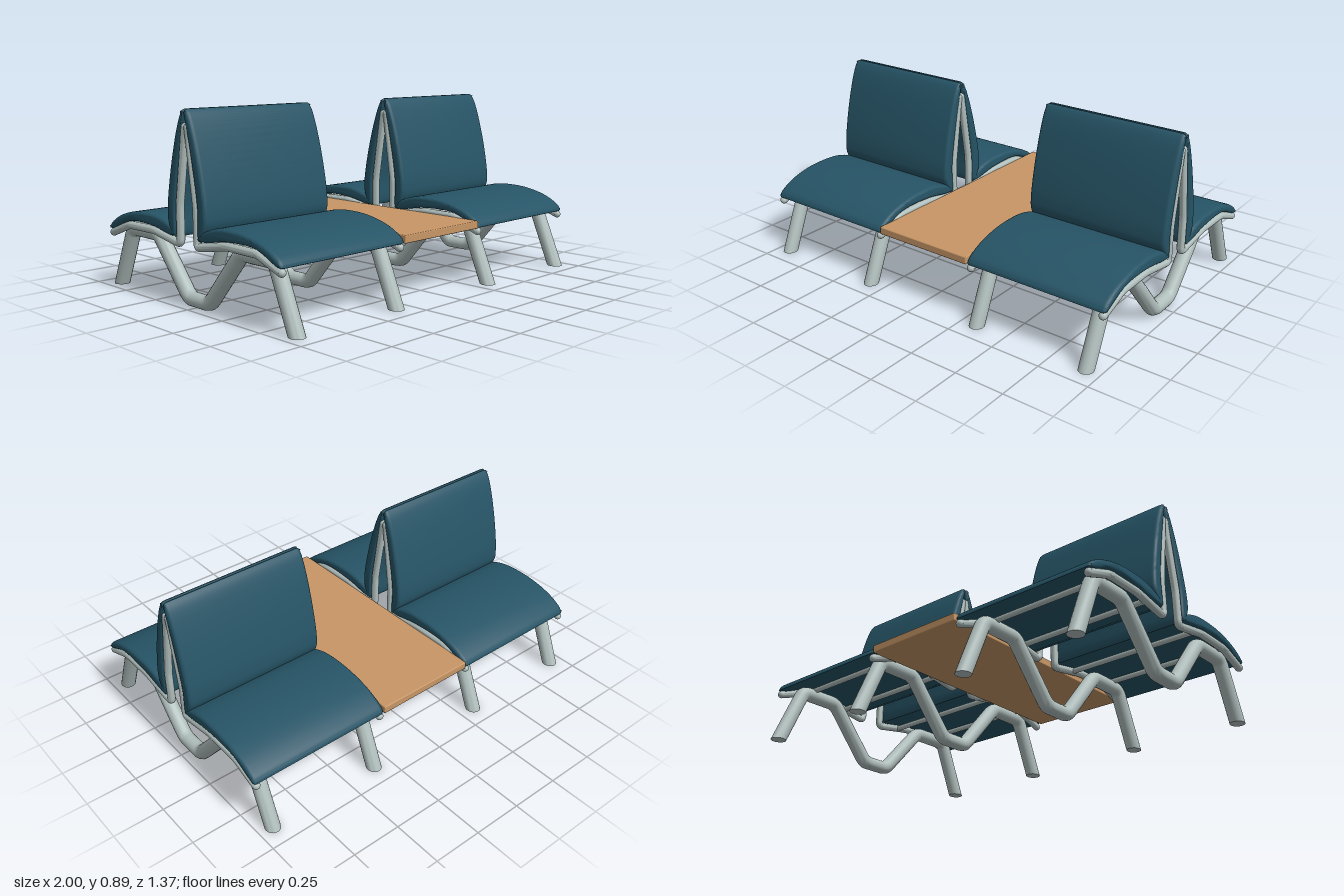
import * as THREE from 'three';
import { toCreasedNormals } from 'three/addons/utils/BufferGeometryUtils.js';
import { RoundedBoxGeometry } from 'three/addons/geometries/RoundedBoxGeometry.js';

const material = (name, color) => {
  const m = new THREE.MeshStandardMaterial({ color });
  m.name = name;
  return m;
};

// Turn a polyline of [z, y] corners into one with rounded bends
function roundBends(corners, cut) {
  const p = corners.map(([z, y]) => new THREE.Vector2(z, y));
  const out = [p[0]];
  for (let i = 1; i < p.length - 1; i++) {
    const toward = (q) => p[i].clone().add(q.clone().sub(p[i]).setLength(cut));
    out.push(...new THREE.QuadraticBezierCurve(toward(p[i - 1]), p[i], toward(p[i + 1])).getPoints(5));
  }
  out.push(p[p.length - 1]);
  return out;
}

// Round bar swept along a path in the z-y plane; feet can be cut level with the floor
function bentBar(corners, radius, cut, levelFeet = false) {
  const path = roundBends(corners, cut), sides = 20, last = path.length - 1;
  const pos = [], index = [];
  path.forEach((p, i) => {
    const before = p.clone().sub(path[Math.max(i - 1, 0)]).normalize();
    const after = path[Math.min(i + 1, last)].clone().sub(p).normalize();
    const t = before.clone().add(after).normalize();
    const miter = 1 / t.dot(i ? before : after);
    let nz = -t.y * miter, ny = t.x * miter;
    if (levelFeet && (i === 0 || i === last)) { nz = -1 / t.y; ny = 0; }
    for (let j = 0; j < sides; j++) {
      const a = (j / sides) * Math.PI * 2, s = radius * Math.sin(a);
      pos.push(radius * Math.cos(a), Math.max(0, p.y + s * ny), p.x + s * nz);
    }
  });
  const first = pos.length / 3;
  pos.push(0, path[0].y, path[0].x, 0, path[last].y, path[last].x);
  for (let j = 0; j < sides; j++) {
    const k = (j + 1) % sides;
    for (let i = 0; i < last; i++) {
      const a = i * sides + j, b = i * sides + k;
      index.push(a, b, b + sides, a, b + sides, a + sides);
    }
    index.push(first, k, j, first + 1, last * sides + j, last * sides + k);
  }
  const g = new THREE.BufferGeometry();
  g.setAttribute('position', new THREE.Float32BufferAttribute(pos, 3));
  g.setIndex(index);
  return toCreasedNormals(g, 0.7);
}

// Soft cushion: closed smooth [z, y] profile stretched along x with rounded ends
function cushion(profile, width) {
  const curve = new THREE.CatmullRomCurve3(profile.map(([z, y]) => new THREE.Vector3(z, y, 0)), true, 'centripetal');
  const shape = new THREE.Shape(curve.getPoints(64).slice(0, -1).map((v) => new THREE.Vector2(v.x, v.y)));
  const bevel = 0.02, size = 0.014;
  const g = new THREE.ExtrudeGeometry(shape, {
    depth: width - 2 * bevel, bevelThickness: bevel, bevelSize: size, bevelOffset: -size, bevelSegments: 4,
  });
  g.translate(0, 0, bevel - width / 2);
  g.rotateY(-Math.PI / 2);
  return toCreasedNormals(g, 0.7);
}

export function createModel() {
  const model = new THREE.Group();
  model.name = 'doubleSidedBench';
  const fabric = material('tealFabric', 0x265466);
  const metal = material('greyMetal', 0xb0bfbd);
  const wood = material('lightWood', 0xc79666);

  const add = (parent, name, geometry, mat, x = 0, y = 0, z = 0) => {
    const mesh = new THREE.Mesh(geometry, mat);
    mesh.name = name;
    mesh.position.set(x, y, z);
    parent.add(mesh);
  };

  const seatWidth = 0.735, seatX = 0.6325, rail = 0.019;

  const seatGeo = cushion([
    [0.632, 0.288], [0.622, 0.312], [0.58, 0.342], [0.518, 0.369], [0.42, 0.392], [0.316, 0.4],
    [0.22, 0.395], [0.15, 0.377], [0.1, 0.352], [0.085, 0.325], [0.115, 0.318], [0.27, 0.342],
    [0.474, 0.34], [0.61, 0.286],
  ], seatWidth);

  const backGeo = cushion([
    [0.09, 0.316], [0.115, 0.338], [0.14, 0.39], [0.142, 0.44], [0.132, 0.52], [0.096, 0.684],
    [0.052, 0.824], [0.026, 0.876], [0.008, 0.892], [0.001, 0.87], [0.012, 0.82], [0.045, 0.67],
    [0.08, 0.463], [0.08, 0.335],
  ], seatWidth);

  // Thin side rail running under the seat and up behind the backrest
  const railPath = [[0.618, 0.268], [0.474, 0.321], [0.27, 0.323], [0.0625, 0.287], [0.062, 0.463], [0.01, 0.812]];
  const railGeo = bentBar(railPath, rail, 0.025);
  const tipGeo = new THREE.SphereGeometry(rail, 20, 12);
  const crossGeo = new THREE.CylinderGeometry(0.014, 0.014, 0.7, 16).rotateZ(Math.PI / 2);

  // Front and back halves are the same, turned half way round
  for (const [side, turn] of [['front', 0], ['back', Math.PI]]) {
    const half = new THREE.Group();
    half.name = side + 'Seating';
    half.rotation.y = turn;
    model.add(half);
    for (const s of [-1, 1]) {
      add(half, 'seatCushion', seatGeo, fabric, s * seatX);
      add(half, 'backCushion', backGeo, fabric, s * seatX);
      for (const x of [0.282, 0.981]) {
        add(half, 'sideRail', railGeo, metal, s * x);
        for (const [z, y] of [railPath[0], railPath[5]]) add(half, 'railTip', tipGeo, metal, s * x, y, z);
      }
      add(half, 'frontCrossBar', crossGeo, metal, s * seatX, 0.32, 0.46);
      add(half, 'rearCrossBar', crossGeo, metal, s * seatX, 0.308, 0.2);
    }
  }

  // Thick bent legs: foot, seat support, dip to the floor, and mirrored
  const legHalf = [[0.647, 0], [0.522, 0.294], [0.307, 0.294], [0.074, 0.026]];
  const legPath = [...legHalf, ...legHalf.map(([z, y]) => [-z, y]).reverse()];
  const legGeo = bentBar(legPath, 0.0365, 0.035, true);
  for (const x of [-0.928, -0.335, 0.335, 0.928]) add(model, 'legFrame', legGeo, metal, x);

  // Wooden table board between the seats
  add(model, 'tableBoard', new RoundedBoxGeometry(0.53, 0.038, 1.274, 2, 0.005), wood, 0, 0.304, 0);

  return model;
}
